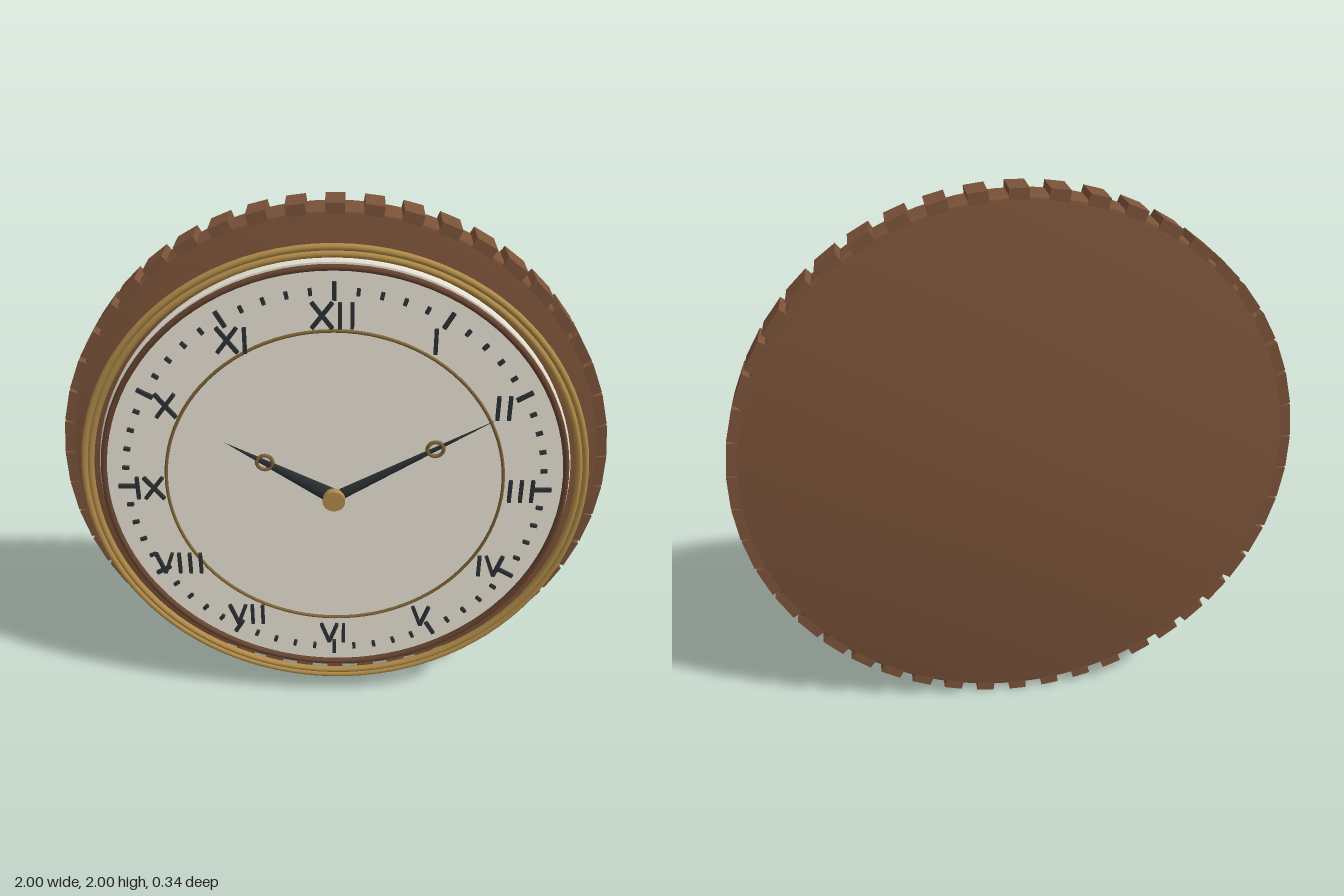
import * as THREE from 'three';
import { toCreasedNormals } from 'three/addons/utils/BufferGeometryUtils.js';

const material = (color) => new THREE.MeshStandardMaterial({ color });
const wood = material(0x7a5238);
const darkWood = material(0x65432f);
const gold = material(0xb08a48);
const bronze = material(0x7d6236);
const enamel = material(0xe9e4d4);
const ink = material(0x2b3033);

function add(parent, name, geometry, mat, x = 0, y = 0, z = 0) {
  const mesh = new THREE.Mesh(geometry, mat);
  mesh.name = name;
  mesh.position.set(x, y, z);
  parent.add(mesh);
  return mesh;
}

// Turned part whose axis points along z; profile is [radius, z] from back to front
function turned(profile, segments = 96) {
  const points = profile.map(([r, z]) => new THREE.Vector2(r, z));
  return toCreasedNormals(new THREE.LatheGeometry(points, segments).rotateX(Math.PI / 2), 0.6);
}

// Straight stroke between two points in the dial plane
function stroke(parent, x1, y1, x2, y2, width = 0.013) {
  const length = Math.hypot(x2 - x1, y2 - y1);
  const bar = add(parent, 'stroke', new THREE.BoxGeometry(width, length, 0.012), ink, (x1 + x2) / 2, (y1 + y2) / 2);
  bar.rotation.z = Math.atan2(x1 - x2, y2 - y1);
}

// Upright hour numeral made of bars, centred on its group
function hourNumeral(symbols) {
  const group = new THREE.Group();
  group.name = 'hourNumeral';
  const widths = { I: 0.04, V: 0.072, X: 0.078 };
  const h = 0.045;
  let x = -[...symbols].reduce((sum, s) => sum + widths[s], 0) / 2;
  for (const s of symbols) {
    const c = x + widths[s] / 2;
    if (s === 'I') stroke(group, c, -h, c, h);
    if (s === 'V') for (const side of [-1, 1]) stroke(group, c, -h, c + side * 0.031, h);
    if (s === 'X') for (const side of [-1, 1]) stroke(group, c - side * 0.034, -h, c + side * 0.034, h);
    x += widths[s];
  }
  return group;
}

// Tapered hand with a small ring partway along
function hand(name, length, width, ringAt, clockwise, z) {
  const group = new THREE.Group();
  group.name = name;
  const blade = new THREE.ConeGeometry(width / 2, length, 12).translate(0, length / 2, 0).scale(1, 1, 0.4);
  add(group, 'blade', blade, ink);
  add(group, 'handRing', new THREE.TorusGeometry(0.028, 0.007, 8, 24), bronze, 0, ringAt, 0);
  group.rotation.z = -clockwise;
  group.position.z = z;
  return group;
}

export function createModel() {
  const model = new THREE.Group();
  model.name = 'wallClock';
  const clock = new THREE.Group();
  clock.name = 'clock';
  clock.position.y = 1;
  model.add(clock);

  // Wooden case with softened edges
  add(clock, 'case', turned([
    [0, -0.172], [0.955, -0.172], [0.97, -0.168], [0.978, -0.158],
    [0.978, -0.064], [0.97, -0.054], [0.955, -0.05], [0, -0.05],
  ]), wood);

  // Ribs around the rim, broader toward the sides
  const ribs = new THREE.Group();
  ribs.name = 'rimRibs';
  clock.add(ribs);
  for (let i = 0; i < 48; i++) {
    const a = (i / 48) * Math.PI * 2;
    const width = 0.065 + 0.06 * Math.sin(a) ** 2;
    const rib = add(ribs, 'rib', new THREE.BoxGeometry(width, 0.05, 0.118), wood,
      Math.sin(a) * 0.975, Math.cos(a) * 0.975, -0.111);
    rib.rotation.z = -a;
  }

  // Dial plate
  add(clock, 'dial', turned([
    [0, 0.028], [0.843, 0.028], [0.85, 0.034], [0.85, 0.055], [0.843, 0.061], [0, 0.061],
  ]), enamel);

  // Bezel rings and the thin inner chapter ring
  const ring = (name, radius, tube, mat, z) =>
    add(clock, name, new THREE.TorusGeometry(radius, tube, 10, 96), mat, 0, 0, z);
  ring('outerBezel', 0.899, 0.012, gold, 0.08);
  ring('middleBezel', 0.876, 0.012, gold, 0.08);
  ring('innerBezel', 0.831, 0.011, darkWood, 0.078);
  ring('chapterRing', 0.609, 0.006, bronze, 0.07);

  // Minute and hour marks
  for (let i = 0; i < 60; i++) {
    const hour = i % 5 === 0;
    const a = (i / 60) * Math.PI * 2;
    const size = hour ? [0.014, 0.062] : [0.012, 0.024];
    const mark = add(clock, hour ? 'hourMark' : 'minuteMark', new THREE.BoxGeometry(...size, 0.012), ink,
      Math.sin(a) * 0.752, Math.cos(a) * 0.752, 0.08);
    mark.rotation.z = -a;
  }

  // Hour numerals
  ['I', 'II', 'III', 'IV', 'V', 'VI', 'VII', 'VIII', 'IX', 'X', 'XI', 'XII'].forEach((symbols, i) => {
    const a = ((i + 1) / 12) * Math.PI * 2;
    const numeral = hourNumeral(symbols);
    numeral.position.set(Math.sin(a) * 0.672, Math.cos(a) * 0.672, 0.092);
    clock.add(numeral);
  });

  // Hands and centre cap
  clock.add(hand('hourHand', 0.44, 0.065, 0.28, -Math.PI / 3, 0.138));
  clock.add(hand('minuteHand', 0.64, 0.046, 0.405, Math.PI / 3, 0.143));
  add(clock, 'centreCap', new THREE.CylinderGeometry(0.04, 0.04, 0.027, 32).rotateX(Math.PI / 2), gold, 0, 0, 0.159);

  return model;
}
